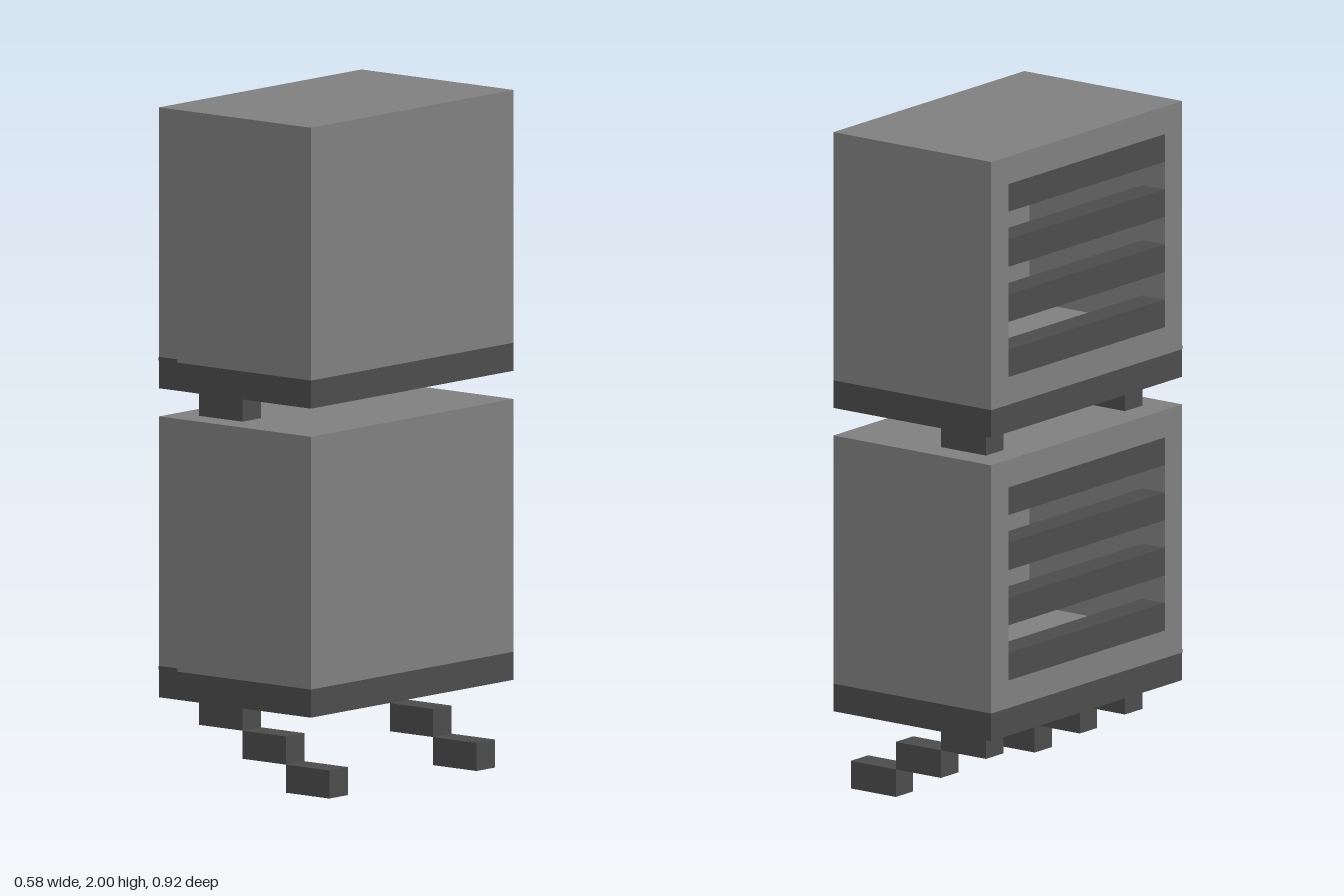
import * as THREE from 'three';

const U = 1 / 12; // modular block size
const W = 7 * U, D = 11 * U, BODY_H = 9 * U;

const casingGray = new THREE.MeshStandardMaterial({ color: 0x808080 });
casingGray.name = 'casingGray';
const darkGray = new THREE.MeshStandardMaterial({ color: 0x4c4c4c });
darkGray.name = 'darkGray';

function box(parent, name, material, size, position) {
  const mesh = new THREE.Mesh(new THREE.BoxGeometry(...size), material);
  mesh.name = name;
  mesh.position.set(...position);
  parent.add(mesh);
}

// Rectangular outline centred on the first axis
function rectangle(PathType, halfWidth, bottom, top) {
  return new PathType([
    new THREE.Vector2(-halfWidth, bottom), new THREE.Vector2(halfWidth, bottom),
    new THREE.Vector2(halfWidth, top), new THREE.Vector2(-halfWidth, top),
  ]);
}

// One cabinet whose base plate starts at y = 0, on a number of stepped feet
function createCabinet(name, steps) {
  const cabinet = new THREE.Group();
  cabinet.name = name;

  box(cabinet, 'basePlate', darkGray, [W, U, D], [0, U / 2, 0]);
  // Small raised lip at the front corner of the base
  box(cabinet, 'baseLip', darkGray, [0.07, 0.01, 0.004], [-W / 2 + 0.035, U + 0.005, D / 2]);

  // Hollow casing, open towards the vented side
  const outline = rectangle(THREE.Shape, D / 2, U, U + BODY_H);
  outline.holes.push(rectangle(THREE.Path, D / 2 - U, 2 * U, BODY_H));
  const shell = new THREE.ExtrudeGeometry(outline, { depth: W - U, bevelEnabled: false });
  shell.rotateY(Math.PI / 2);
  const casing = new THREE.Mesh(shell, casingGray);
  casing.name = 'casing';
  casing.position.x = -W / 2;
  cabinet.add(casing);
  box(cabinet, 'closedSide', casingGray, [U, BODY_H, D], [W / 2 - U / 2, U + BODY_H / 2, 0]);

  // Vent slats
  for (let i = 0; i < 4; i++) {
    box(cabinet, 'ventSlat', darkGray, [U, U, D - 2 * U], [-W / 2 + U / 2, (2.5 + 2 * i) * U, 0]);
  }

  // Feet stepping down and outwards
  for (const side of [-1, 1]) {
    for (let i = 0; i < steps; i++) {
      box(cabinet, 'footStep', darkGray, [2 * U, U, U], [(-1.5 + 2 * i) * U, -(i + 0.5) * U, side * 4 * U]);
    }
  }
  return cabinet;
}

export function createModel() {
  const model = new THREE.Group();
  model.name = 'stackedVentCabinets';
  const lower = createCabinet('lowerCabinet', 3);
  lower.position.y = 3 * U;
  const upper = createCabinet('upperCabinet', 1);
  upper.position.y = 14 * U;
  model.add(lower, upper);
  return model;
}
